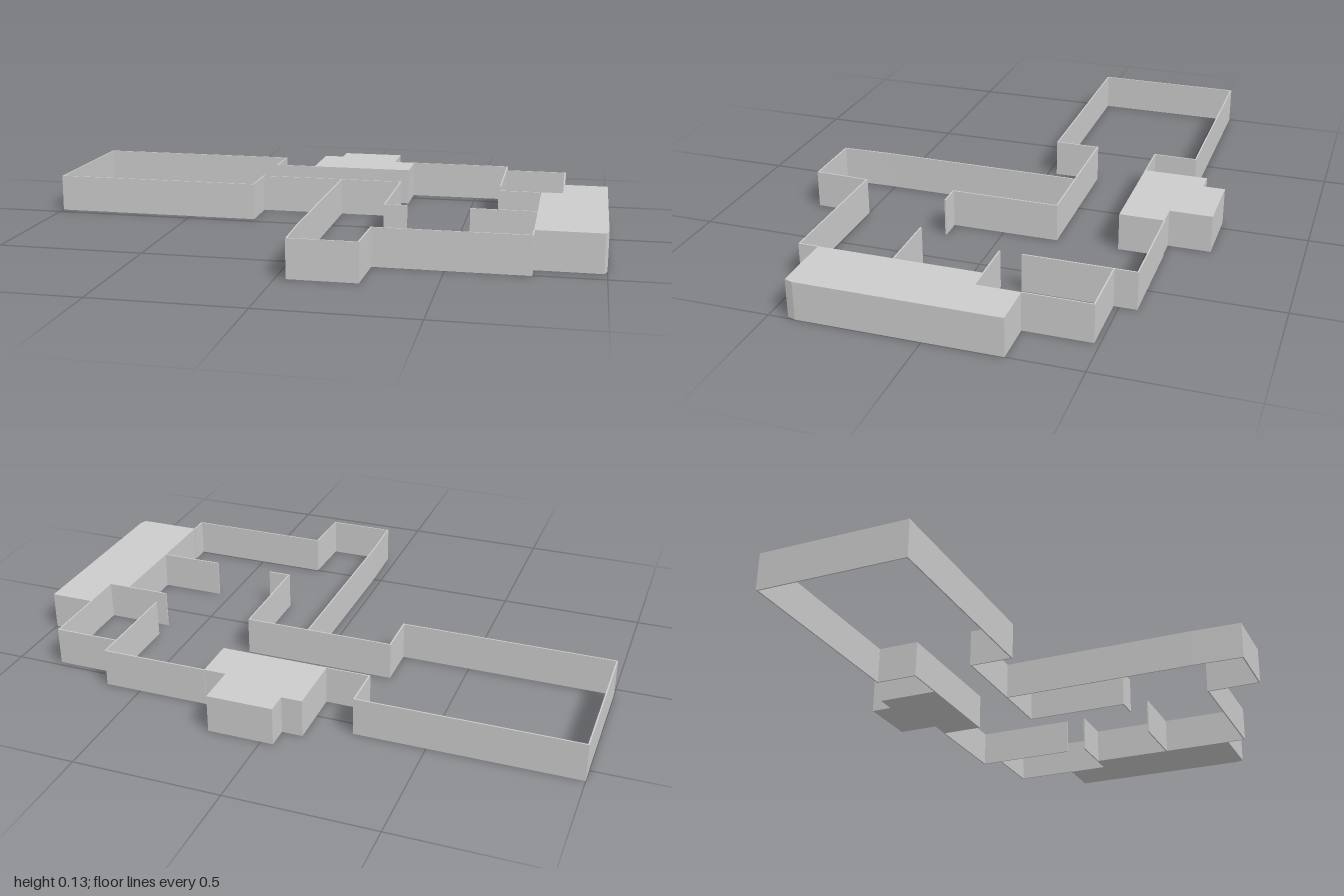
import * as THREE from 'three';

const HEIGHT = 0.13;
const THICK = 0.005;
const material = new THREE.MeshStandardMaterial({ color: 0xcccccc, flatShading: true, side: THREE.DoubleSide });

// A run of thin upright walls along a floor-plan path of [x, z] points
function wallRun(name, points) {
  const run = new THREE.Group();
  run.name = name;
  for (let i = 0; i < points.length - 1; i++) {
    const [x0, z0] = points[i];
    const [x1, z1] = points[i + 1];
    const length = Math.hypot(x1 - x0, z1 - z0) + THICK;
    const wall = new THREE.Mesh(new THREE.BoxGeometry(length, HEIGHT, THICK), material);
    wall.name = name + 'Panel';
    wall.position.set((x0 + x1) / 2, HEIGHT / 2, (z0 + z1) / 2);
    wall.rotation.y = -Math.atan2(z1 - z0, x1 - x0);
    run.add(wall);
  }
  return run;
}

// A closed room with floor and roof, extruded upward from its outline
function closedRoom(name, outline) {
  const shape = new THREE.Shape(outline.map(([x, z]) => new THREE.Vector2(x, -z)));
  const geometry = new THREE.ExtrudeGeometry(shape, { depth: HEIGHT, bevelEnabled: false });
  geometry.rotateX(-Math.PI / 2);
  const room = new THREE.Mesh(geometry, material);
  room.name = name;
  return room;
}

export function createModel() {
  const model = new THREE.Group();
  model.name = 'floorPlan';

  // Large open room on the -x side and the passage leading out of it
  model.add(wallRun('largeRoomWall', [
    [-0.11, -0.405], [-0.26, -0.405], [-0.26, -0.555], [-0.997, -0.555], [-0.997, -0.035],
    [-0.26, -0.035], [-0.26, -0.188], [0.258, -0.188], [0.258, 0.182], [0.333, 0.182],
  ]));

  // Long corridor and front hall
  model.add(wallRun('corridorWall', [
    [0.037, -0.188], [0.032, 0.52], [0.037, 0.692], [0.26, 0.692], [0.266, 0.503], [0.77, 0.503], [0.77, 0.44],
  ]));

  // Short partition beside the doorway
  model.add(wallRun('doorwayPartition', [[0.55, 0.182], [0.77, 0.182]]));

  // Back hall with its divider and the small side room
  model.add(wallRun('backHallWall', [[0.258, -0.555], [0.622, -0.555], [0.622, -0.188]]));
  model.add(wallRun('sideRoomWall', [[0.622, -0.48], [0.845, -0.48], [0.845, -0.26]]));
  model.add(wallRun('sideRoomPartition', [[0.622, -0.112], [0.845, -0.112]]));

  // Roofed rooms
  model.add(closedRoom('backRoom', [
    [-0.112, -0.403], [0.258, -0.403], [0.258, -0.555], [0.182, -0.555],
    [0.182, -0.7], [-0.042, -0.7], [-0.042, -0.625], [-0.112, -0.625],
  ]));
  model.add(closedRoom('sideHall', [
    [0.77, 0.438], [0.99, 0.438], [1, 0.41], [1, -0.258],
    [0.845, -0.258], [0.845, -0.112], [0.77, -0.112],
  ]));

  return model;
}
